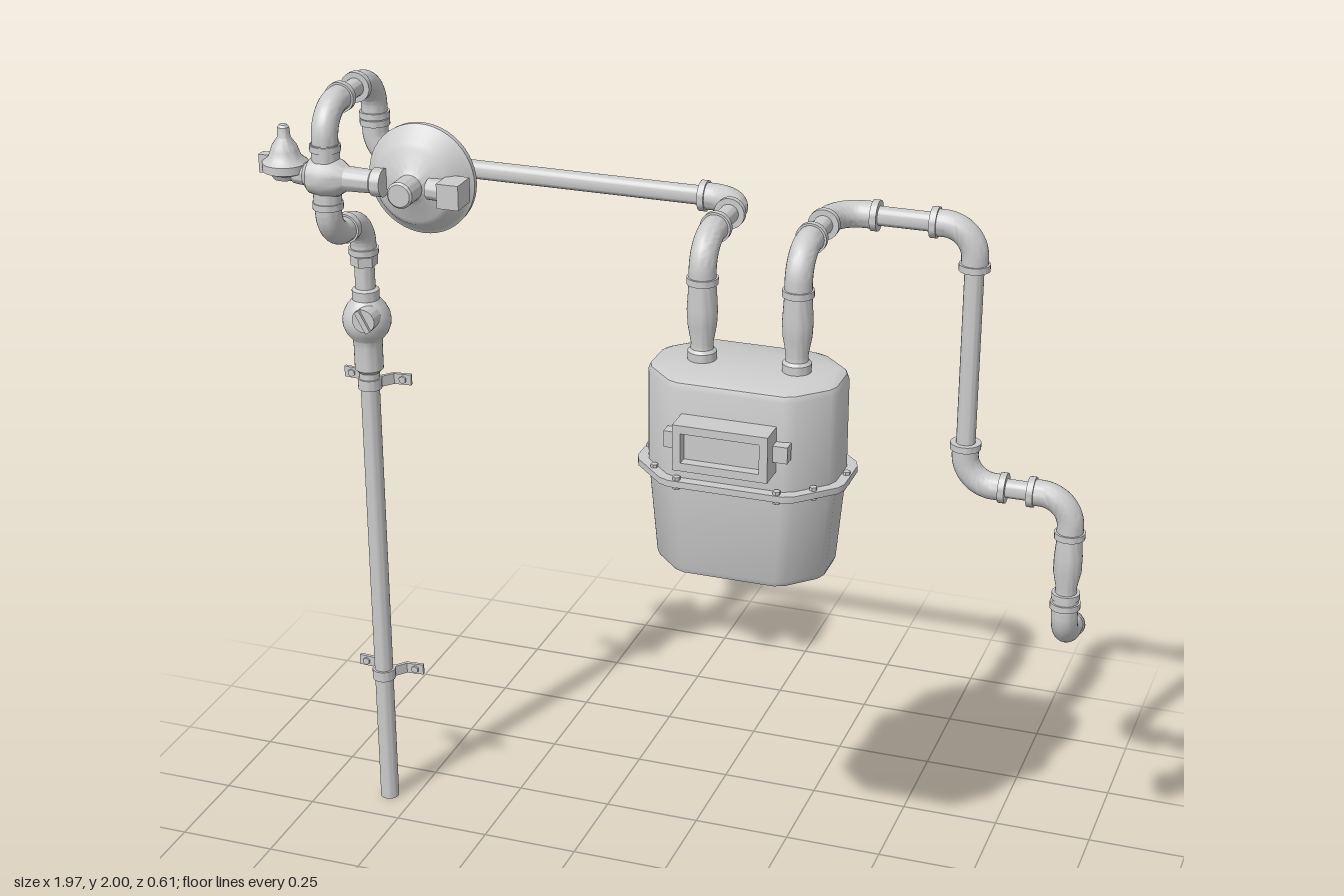
import * as THREE from 'three';
import { toCreasedNormals } from 'three/addons/utils/BufferGeometryUtils.js';

const V = (x, y, z) => new THREE.Vector3(x, y, z);
const UP = V(0, 1, 0);
const material = new THREE.MeshStandardMaterial({ color: 0xcccccc });
const openMaterial = new THREE.MeshStandardMaterial({ color: 0xcccccc, side: THREE.DoubleSide });
const PIPE = 0.023, ELBOW = 0.032, COLLAR = 0.037;

function add(parent, name, geometry, x = 0, y = 0, z = 0, mat = material) {
  const mesh = new THREE.Mesh(toCreasedNormals(geometry, 0.6), mat);
  mesh.name = name;
  mesh.position.set(x, y, z);
  parent.add(mesh);
  return mesh;
}

// Turned part: profile of [radius, distance] along a direction from an origin
function turned(parent, name, origin, dir, profile, sides = 28) {
  const geo = new THREE.LatheGeometry(profile.map(([r, t]) => new THREE.Vector2(r, t)), sides);
  const mesh = add(parent, name, geo, origin.x, origin.y, origin.z);
  mesh.quaternion.setFromUnitVectors(UP, dir);
  return mesh;
}

function rod(parent, name, a, b, r, sides) {
  const d = b.clone().sub(a), L = d.length();
  return turned(parent, name, a, d.normalize(), [[0, 0], [r, 0], [r, L], [0, L]], sides);
}

function box(parent, name, w, h, d, x, y, z) {
  return add(parent, name, new THREE.BoxGeometry(w, h, d), x, y, z);
}

function collar(parent, p, dir, r = COLLAR) {
  rod(parent, 'collar', p.clone().addScaledVector(dir, -0.008), p.clone().addScaledVector(dir, 0.008), r);
}

// Quarter bend with a collar at each end
function elbow(parent, corner, from, to, leg, open) {
  const at = (d, t) => corner.clone().addScaledVector(d, t);
  const bend = 0.075, k = bend * 0.448;
  const path = new THREE.CurvePath();
  path.add(new THREE.LineCurve3(at(from, leg), at(from, bend)));
  path.add(new THREE.CubicBezierCurve3(at(from, bend), at(from, k), at(to, k), at(to, bend)));
  path.add(new THREE.LineCurve3(at(to, bend), at(to, leg)));
  add(parent, 'elbow', new THREE.TubeGeometry(path, 24, ELBOW, 24), 0, 0, 0, openMaterial);
  collar(parent, at(from, leg), from);
  if (!open) collar(parent, at(to, leg), to);
  else add(parent, 'openEndRim', new THREE.TorusGeometry(0.0325, 0.004, 8, 28), ...at(to, leg - 0.004).toArray());
}

// Straight pipes through the points, with an elbow at each inner corner
function pipeRun(root, name, pts, leg = 0.095, openEnd = false) {
  const g = new THREE.Group();
  g.name = name;
  root.add(g);
  const dir = (i, j) => pts[j].clone().sub(pts[i]).normalize();
  for (let i = 0; i < pts.length - 1; i++) {
    const d = dir(i, i + 1), last = i === pts.length - 2;
    const a = pts[i].clone().addScaledVector(d, i ? leg - 0.005 : 0);
    const b = pts[i + 1].clone().addScaledVector(d, last ? 0 : 0.005 - leg);
    if (b.clone().sub(a).dot(d) > 0.005 && !(openEnd && last)) rod(g, 'pipe', a, b, PIPE);
    if (i) elbow(g, pts[i], dir(i, i - 1), d, leg, openEnd && last);
  }
}

// Chamfered rectangle with softened corners
function octagon(hx, hz, c) {
  const base = [[hx, -hz + c], [hx, hz - c], [hx - c, hz], [-hx + c, hz], [-hx, hz - c], [-hx, -hz + c], [-hx + c, -hz], [hx - c, -hz]];
  return base.flatMap((p, i) => [base[(i + 7) % 8], base[(i + 1) % 8]].map((q) => {
    const s = 0.014 / Math.hypot(q[0] - p[0], q[1] - p[1]);
    return [p[0] + (q[0] - p[0]) * s, p[1] + (q[1] - p[1]) * s];
  }));
}

// Skin over octagon sections listed as [y, halfX, halfZ, chamfer], bottom to top
function loft(sections) {
  const pos = [], idx = [], n = 16;
  for (const [y, hx, hz, c] of sections) for (const [x, z] of octagon(hx, hz, c)) pos.push(x, y, z);
  const top = (sections.length - 1) * n;
  for (let s = 0; s < top; s += n) for (let i = 0; i < n; i++) {
    const j = (i + 1) % n;
    idx.push(s + i, s + n + i, s + j, s + j, s + n + i, s + n + j);
  }
  for (let i = 1; i < n - 1; i++) idx.push(0, i, i + 1, top, top + i + 1, top + i);
  const g = new THREE.BufferGeometry();
  g.setAttribute('position', new THREE.Float32BufferAttribute(pos, 3));
  g.setIndex(idx);
  return g;
}

function buildMeter(root) {
  const g = new THREE.Group();
  g.name = 'meter';
  g.position.set(0.237, 0, 0.097);
  root.add(g);
  add(g, 'lowerCase', loft([[0.98, 0.192, 0.122, 0.075], [0.984, 0.203, 0.132, 0.08], [0.997, 0.208, 0.137, 0.082], [1.225, 0.228, 0.143, 0.085]]));
  add(g, 'upperCase', loft([[1.225, 0.228, 0.143, 0.085], [1.45, 0.228, 0.143, 0.085], [1.464, 0.223, 0.138, 0.083], [1.47, 0.211, 0.127, 0.08]]));
  add(g, 'flange', loft([[1.216, 0.251, 0.168, 0.1], [1.232, 0.251, 0.168, 0.1]]));
  for (const s of [-1, 1]) {
    const spots = [[s * 0.24, 0], [s * 0.12, 0.157], [s * 0.12, -0.157], [s * 0.192, 0.107], [s * 0.192, -0.107]];
    for (const [x, z] of spots) rod(g, 'flangeBolt', V(x, 1.209, z), V(x, 1.24, z), 0.009, 6);
  }
  // Counter window: frame with a recessed face and side lugs
  const frame = new THREE.Shape([[-0.113, -0.056], [0.113, -0.056], [0.113, 0.056], [-0.113, 0.056]].map((p) => new THREE.Vector2(...p)));
  frame.holes.push(new THREE.Path([[-0.093, -0.036], [-0.093, 0.036], [0.093, 0.036], [0.093, -0.036]].map((p) => new THREE.Vector2(...p))));
  add(g, 'counterFrame', new THREE.ExtrudeGeometry(frame, { depth: 0.07, bevelEnabled: false }), 0, 1.336, 0.14);
  box(g, 'counterFace', 0.19, 0.075, 0.045, 0, 1.336, 0.162);
  for (const s of [-1, 1]) box(g, 'counterLug', 0.035, 0.04, 0.03, s * 0.13, 1.336, 0.155);
  for (const x of [-0.115, 0.113]) {
    turned(g, 'meterUnion', V(x, 1.465, -0.007), UP,
      [[0, 0], [0.034, 0], [0.034, 0.025], [0.027, 0.032], [0.026, 0.045], [0.034, 0.09], [0.036, 0.125], [0.032, 0.19], [0.032, 0.2], [0, 0.2]]);
  }
}

function buildValve(root) {
  const g = new THREE.Group();
  g.name = 'shutoffValve';
  root.add(g);
  turned(g, 'valveBody', V(-0.82, 1.2, -0.105), UP, [[0, 0], [0.026, 0], [0.026, 0.03], [0.036, 0.04], [0.036, 0.1], [0.038, 0.12], [0.052, 0.137],
    [0.06, 0.157], [0.061, 0.172], [0.058, 0.19], [0.048, 0.21], [0.034, 0.226], [0.034, 0.25], [0.025, 0.255], [0.025, 0.32], [0, 0.32]]);
  rod(g, 'valveNut', V(-0.82, 1.515, -0.105), V(-0.82, 1.54, -0.105), 0.034, 6);
  rod(g, 'valveStem', V(-0.8, 1.39, -0.08), V(-0.8, 1.39, -0.04), 0.03);
  box(g, 'valveTab', 0.014, 0.06, 0.015, -0.8, 1.39, -0.04).rotation.z = 0.5;
}

function buildClamp(root, y) {
  const g = new THREE.Group();
  g.name = 'wallClamp';
  g.position.set(-0.82, y, -0.105);
  root.add(g);
  rod(g, 'clampBand', V(0, -0.014, 0), V(0, 0.014, 0), 0.03);
  for (const s of [-1, 1]) {
    const ear = [[0.022, -0.018], [0.045, -0.046], [0.088, -0.05]];
    for (let i = 0; i < 2; i++) {
      const [a, b] = [ear[i], ear[i + 1]], dx = b[0] - a[0], dz = b[1] - a[1];
      const strap = box(g, 'clampEar', Math.hypot(dx, dz) + 0.006, 0.028, 0.009, s * (a[0] + b[0]) / 2, 0, (a[1] + b[1]) / 2);
      strap.rotation.y = -s * Math.atan2(dz, dx);
    }
    rod(g, 'clampBolt', V(s * 0.07, 0, -0.056), V(s * 0.07, 0, -0.038), 0.01, 6);
  }
}

function buildRegulator(root) {
  const g = new THREE.Group();
  g.name = 'regulator';
  root.add(g);
  turned(g, 'diaphragmHousing', V(-0.605, 1.795, 0), V(0, 0, 1), [[0, -0.012], [0.12, -0.012], [0.134, -0.008], [0.135, 0.008],
    [0.125, 0.014], [0.1, 0.052], [0.088, 0.06], [0.045, 0.07], [0.032, 0.08], [0.032, 0.136], [0.027, 0.141], [0, 0.141]], 48);
  // Cross body joining the inlet, outlet, housing and vent
  turned(g, 'crossBody', V(-0.9, 1.8, 0.078), V(1, 0, 0), [[0, 0], [0.025, 0], [0.028, 0.03], [0.044, 0.045], [0.05, 0.08],
    [0.044, 0.115], [0.03, 0.135], [0.028, 0.2], [0.034, 0.205], [0.034, 0.23], [0, 0.23]]);
  rod(g, 'crossRiser', V(-0.82, 1.72, 0.075), V(-0.82, 1.88, 0.075), 0.034);
  rod(g, 'sideArm', V(-0.56, 1.795, 0.066), V(-0.48, 1.795, 0.075), 0.026);
  box(g, 'sidePort', 0.055, 0.06, 0.07, -0.495, 1.795, 0.078);
  turned(g, 'reliefVent', V(-0.925, 1.785, 0.078), UP, [[0, 0], [0.03, 0], [0.036, 0.012], [0.055, 0.02], [0.055, 0.04], [0.04, 0.052],
    [0.034, 0.068], [0.03, 0.08], [0.016, 0.1], [0.014, 0.125], [0.009, 0.131], [0, 0.132]]);
  box(g, 'ventTab', 0.045, 0.045, 0.025, -0.966, 1.817, 0.078);
}

export function createModel() {
  const root = new THREE.Group();
  root.name = 'gasMeterAssembly';
  rod(root, 'riserPipe', V(-0.82, 0, -0.105), V(-0.82, 1.22, -0.105), 0.024);
  for (const y of [0.373, 1.2]) buildClamp(root, y);
  buildValve(root);
  buildRegulator(root);
  buildMeter(root);
  // Pipework from riser to regulator, regulator to meter, and meter to outlet
  pipeRun(root, 'regulatorInlet', [V(-0.82, 1.5, -0.105), V(-0.82, 1.64, -0.105), V(-0.82, 1.64, 0.075), V(-0.82, 1.76, 0.075)], 0.088);
  pipeRun(root, 'meterInlet', [V(-0.82, 1.85, 0.075), V(-0.82, 1.965, 0.075), V(-0.82, 1.965, -0.203),
    V(-0.82, 1.757, -0.203), V(0.122, 1.757, -0.203), V(0.122, 1.757, 0.09), V(0.122, 1.65, 0.09)]);
  pipeRun(root, 'meterOutlet', [V(0.35, 1.65, 0.09), V(0.35, 1.757, 0.09), V(0.35, 1.757, -0.203), V(0.685, 1.757, -0.203),
    V(0.685, 1.113, -0.203), V(0.948, 1.113, -0.203), V(0.948, 0.733, -0.203), V(0.948, 0.733, -0.3)], 0.097, true);
  turned(root, 'outletUnion', V(0.948, 0.83, -0.203), UP, [[0, 0], [0.032, 0], [0.032, 0.02], [0.026, 0.024], [0.026, 0.05],
    [0.034, 0.09], [0.034, 0.13], [0.03, 0.18], [0, 0.18]]);
  collar(root, V(0.948, 0.855, -0.203), UP, 0.034);
  return root;
}
